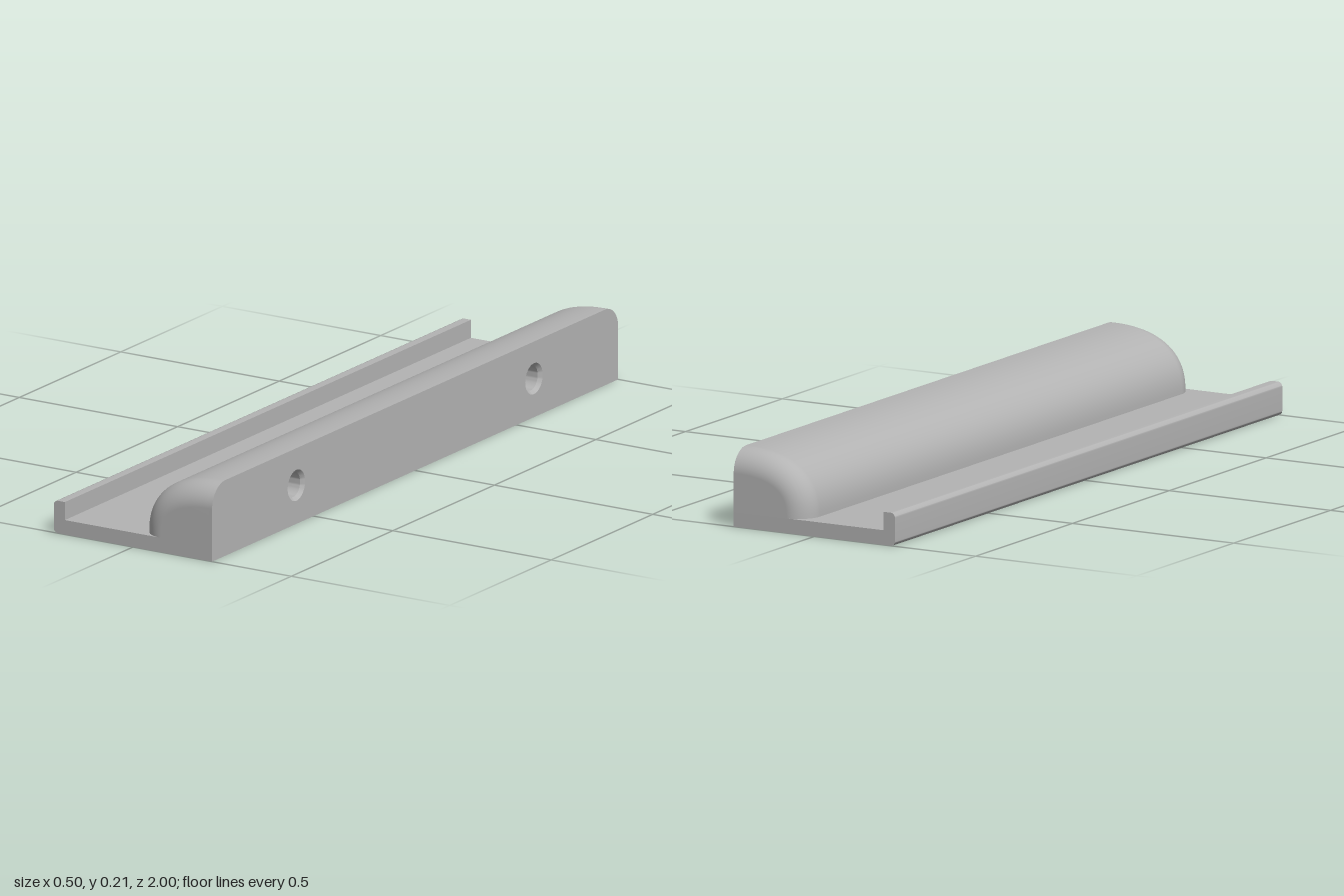
import * as THREE from 'three';
import { toCreasedNormals } from 'three/addons/utils/BufferGeometryUtils.js';

const RIGHT = 0.25, FLOOR = 0.04, TOP = 0.21, FILLET = 0.065;
const HOLE_Z = 0.585, HOLE_Y = 0.107, MOUTH = 0.043, BORE = 0.034;

// Flat tray with a low lip, extruded along z
function trayGeometry() {
  const r = 0.013, s = new THREE.Shape();
  s.moveTo(RIGHT, 0);
  s.lineTo(RIGHT, FLOOR);
  s.lineTo(-0.215, FLOOR);
  s.lineTo(-0.215, 0.09);
  s.lineTo(-0.25 + r, 0.09);
  s.absarc(-0.25 + r, 0.09 - r, r, Math.PI / 2, Math.PI, false);
  s.lineTo(-0.25, r);
  s.absarc(-0.25 + r, r, r, Math.PI, Math.PI * 1.5, false);
  const g = new THREE.ExtrudeGeometry(s, { depth: 2, bevelEnabled: false, curveSegments: 8 });
  g.translate(0, 0, -1);
  return toCreasedNormals(g, 0.6);
}

// Point on the domed cross-section, moved inward by inset
function domePoint(t, inset) {
  const n = 2.4, a = RIGHT - 0.022, b = TOP - FLOOR;
  const u = Math.max(0, Math.cos(t)) ** (2 / n), v = Math.sin(t) ** (2 / n);
  const normal = new THREE.Vector2(-(u ** (n - 1)) / a, v ** (n - 1) / b).normalize();
  return [RIGHT - a * u - normal.x * inset, FLOOR + b * v - normal.y * inset];
}

// Domed rail: sections along z, with rounded ends closed by flat caps
function railGeometry() {
  const arc = 12, cols = 40, stations = [];
  for (let k = 0; k <= arc; k++) {
    const q = (k / arc) * Math.PI / 2;
    stations.push({ z: 1 - FILLET + FILLET * Math.sin(q), inset: FILLET * (1 - Math.cos(q)) });
  }
  stations.push({ z: 1, cap: true });
  const all = [...stations.map((s) => ({ ...s, z: -s.z })).reverse(), ...stations];

  const pos = [], index = [], w = cols + 1;
  all.forEach((s, i) => {
    for (let j = 0; j <= cols; j++) {
      const [x, y] = s.cap ? [RIGHT, FLOOR] : domePoint((j / cols) * Math.PI / 2, s.inset);
      pos.push(x, y, s.z);
      if (i < all.length - 1 && j < cols) {
        const a = i * w + j, b = a + w;
        index.push(a, b, a + 1, b, b + 1, a + 1);
      }
    }
  });
  const g = new THREE.BufferGeometry();
  g.setAttribute('position', new THREE.Float32BufferAttribute(pos, 3));
  g.setIndex(index);
  g.computeVertexNormals();
  return g;
}

// Flat mounting face with two screw holes
function mountingFaceGeometry() {
  const s = new THREE.Shape();
  s.moveTo(-1, FLOOR);
  s.lineTo(1, FLOOR);
  s.lineTo(1, TOP - FILLET);
  s.absarc(1 - FILLET, TOP - FILLET, FILLET, 0, Math.PI / 2, false);
  s.lineTo(-1 + FILLET, TOP);
  s.absarc(-1 + FILLET, TOP - FILLET, FILLET, Math.PI / 2, Math.PI, false);
  for (const side of [-1, 1]) {
    const hole = new THREE.Path();
    hole.absarc(side * HOLE_Z, HOLE_Y, MOUTH, 0, Math.PI * 2, true);
    s.holes.push(hole);
  }
  const g = new THREE.ShapeGeometry(s, 20);
  g.rotateY(Math.PI / 2);
  g.translate(RIGHT, 0, 0);
  return g;
}

// Blind screw hole with a chamfered mouth, seen from inside
function screwHoleGeometry() {
  const pts = [[MOUTH, 0], [BORE, -0.01], [BORE, -0.12], [0, -0.12]];
  const g = new THREE.LatheGeometry(pts.map(([r, y]) => new THREE.Vector2(r, y)), 40);
  g.rotateZ(-Math.PI / 2);
  return toCreasedNormals(g, 0.5);
}

export function createModel() {
  const group = new THREE.Group();
  group.name = 'mountedRail';
  const grey = new THREE.MeshStandardMaterial({ color: 0xb3b3b3, side: THREE.DoubleSide });
  grey.name = 'grey';

  const add = (name, geometry) => {
    const mesh = new THREE.Mesh(geometry, grey);
    mesh.name = name;
    group.add(mesh);
    return mesh;
  };

  add('tray', trayGeometry());
  add('domedRail', railGeometry());
  add('mountingFace', mountingFaceGeometry());
  const hole = screwHoleGeometry();
  add('frontScrewHole', hole).position.set(RIGHT, HOLE_Y, HOLE_Z);
  add('backScrewHole', hole).position.set(RIGHT, HOLE_Y, -HOLE_Z);
  return group;
}
